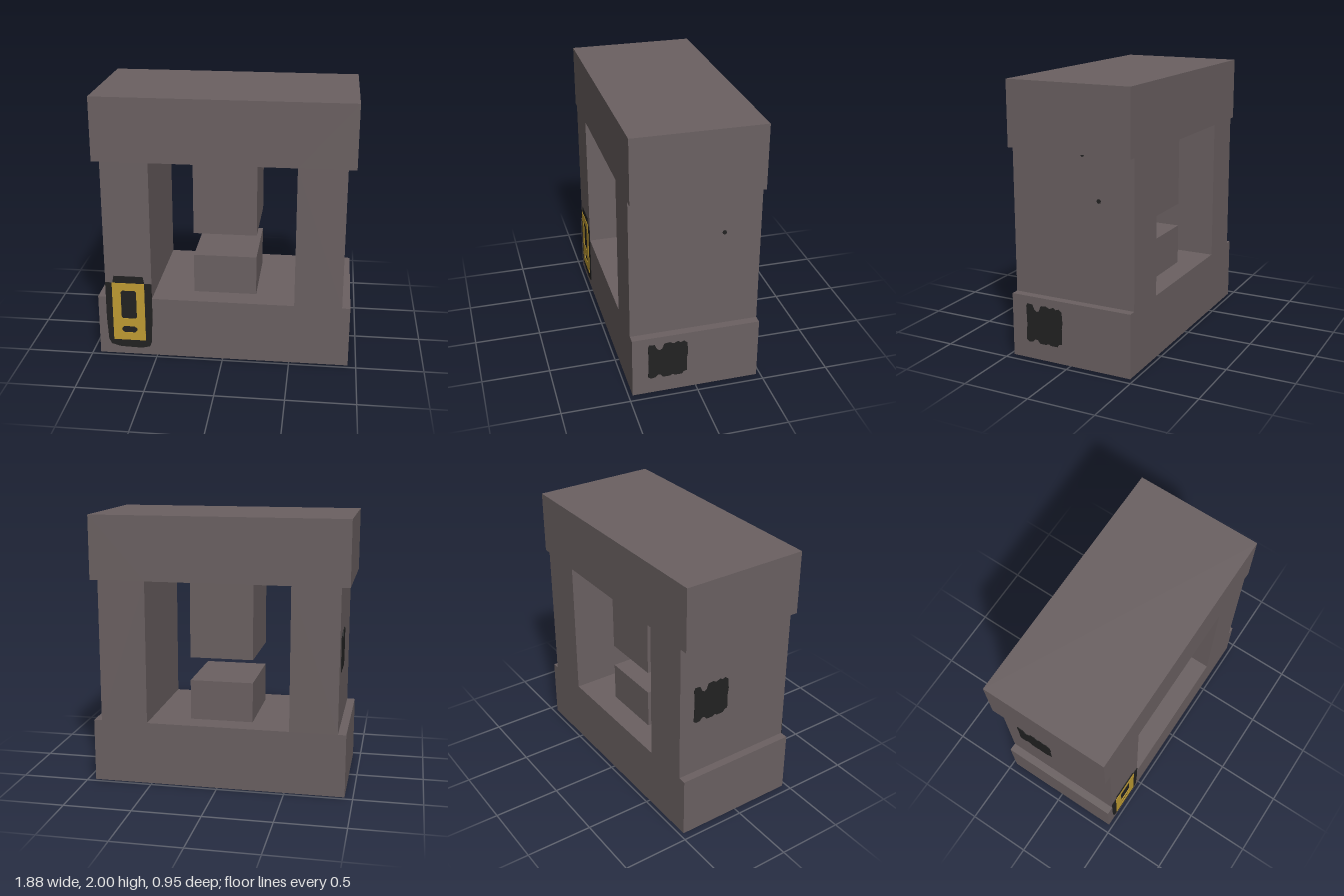
import * as THREE from 'three';

const stone = new THREE.MeshStandardMaterial({ color: 0x6b6162 });
stone.name = 'stone';
const yellow = new THREE.MeshStandardMaterial({ color: 0xc09c33 });
yellow.name = 'badgeYellow';
const black = new THREE.MeshStandardMaterial({ color: 0x222222 });
black.name = 'paintBlack';

const HALF_DEPTH = 0.47;

const shapeOf = (points) => new THREE.Shape(points.map(([x, y]) => new THREE.Vector2(x, y)));

const rect = (x0, y0, x1, y1) => [[x0, y0], [x1, y0], [x1, y1], [x0, y1]];

// Rectangle with cut corners
const cutRect = (x0, y0, x1, y1, c) => [
  [x0 + c, y0], [x1 - c, y0], [x1, y0 + c], [x1, y1 - c],
  [x1 - c, y1], [x0 + c, y1], [x0, y1 - c], [x0, y0 + c],
];

function slab(name, shape, depth, material) {
  const geometry = new THREE.ExtrudeGeometry(shape, { depth, bevelEnabled: false });
  const mesh = new THREE.Mesh(geometry, material);
  mesh.name = name;
  return mesh;
}

export function createModel() {
  const model = new THREE.Group();
  model.name = 'stoneFrame';

  // Frame: wide base and cap joined by two narrower pillars
  const right = [[0.94, 0], [0.94, 0.47], [0.88, 0.47], [0.88, 1.53], [0.94, 1.53], [0.94, 2]];
  const left = right.map(([x, y]) => [-x, y]).reverse();
  const outline = shapeOf([...right, ...left]);
  outline.holes.push(shapeOf(rect(-0.53, 0.47, 0.53, 1.53)));
  const frame = slab('frame', outline, HALF_DEPTH * 2, stone);
  frame.position.z = -HALF_DEPTH;
  model.add(frame);

  // Blocks hanging from the cap and rising from the base
  for (const [name, y0, y1] of [['upperBlock', 0.945, 1.53], ['lowerBlock', 0.47, 0.77]]) {
    const block = new THREE.Mesh(new THREE.BoxGeometry(0.47, y1 - y0, 0.6), stone);
    block.name = name;
    block.position.y = (y0 + y1) / 2;
    model.add(block);
  }

  // Front badge: rough dark backing under a yellow plate with two openings
  const backing = slab('badgeBacking', shapeOf([
    [-0.88, 0.59], [-0.88, 0.3], [-0.87, 0.12], [-0.85, 0.08], [-0.78, 0.06], [-0.62, 0.055],
    [-0.555, 0.07], [-0.54, 0.11], [-0.53, 0.35], [-0.53, 0.59], [-0.585, 0.59],
    [-0.595, 0.645], [-0.815, 0.645], [-0.825, 0.59],
  ]), 0.004, black);
  const plateShape = shapeOf(rect(-0.83, 0.12, -0.585, 0.59));
  plateShape.holes.push(
    shapeOf(cutRect(-0.765, 0.3, -0.648, 0.53, 0.012)),
    shapeOf(cutRect(-0.765, 0.183, -0.648, 0.235, 0.018)),
  );
  const plate = slab('badgePlate', plateShape, 0.004, yellow);
  backing.position.z = HALF_DEPTH;
  plate.position.z = HALF_DEPTH + 0.004;
  model.add(backing, plate);

  // Wavy-edged dark patches, one on each side
  const patchShape = shapeOf([
    [-0.15, -0.13], [-0.13, -0.145], [-0.1, -0.14], [-0.08, -0.12], [-0.06, -0.12],
    [-0.04, -0.145], [0.01, -0.145], [0.03, -0.135], [0.05, -0.145], [0.1, -0.145],
    [0.115, -0.125], [0.138, -0.12], [0.138, 0], [0.145, 0.04], [0.138, 0.12],
    [0.115, 0.14], [0.09, 0.13], [0.07, 0.145], [0.04, 0.13], [0.01, 0.145],
    [-0.03, 0.14], [-0.045, 0.1], [-0.065, 0.09], [-0.085, 0.105], [-0.1, 0.14],
    [-0.14, 0.145], [-0.15, 0.125], [-0.145, 0],
  ]);
  for (const [name, side, x, y, z] of [
    ['leftPatch', 1, 0.94, 0.27, 0.205],
    ['rightPatch', -1, -0.88, 1.04, -0.205],
  ]) {
    const patch = slab(name, patchShape, 0.004, black);
    patch.position.set(x, y, z);
    patch.rotation.y = side * Math.PI / 2;
    model.add(patch);
  }

  // Small specks on the left pillar
  for (const [y, z, r] of [[1.515, -0.083, 0.012], [1.21, -0.205, 0.016]]) {
    const speck = new THREE.Mesh(new THREE.CylinderGeometry(r, r, 0.004, 8), black);
    speck.name = 'speck';
    speck.position.set(0.882, y, z);
    speck.rotation.z = -Math.PI / 2;
    model.add(speck);
  }

  return model;
}
